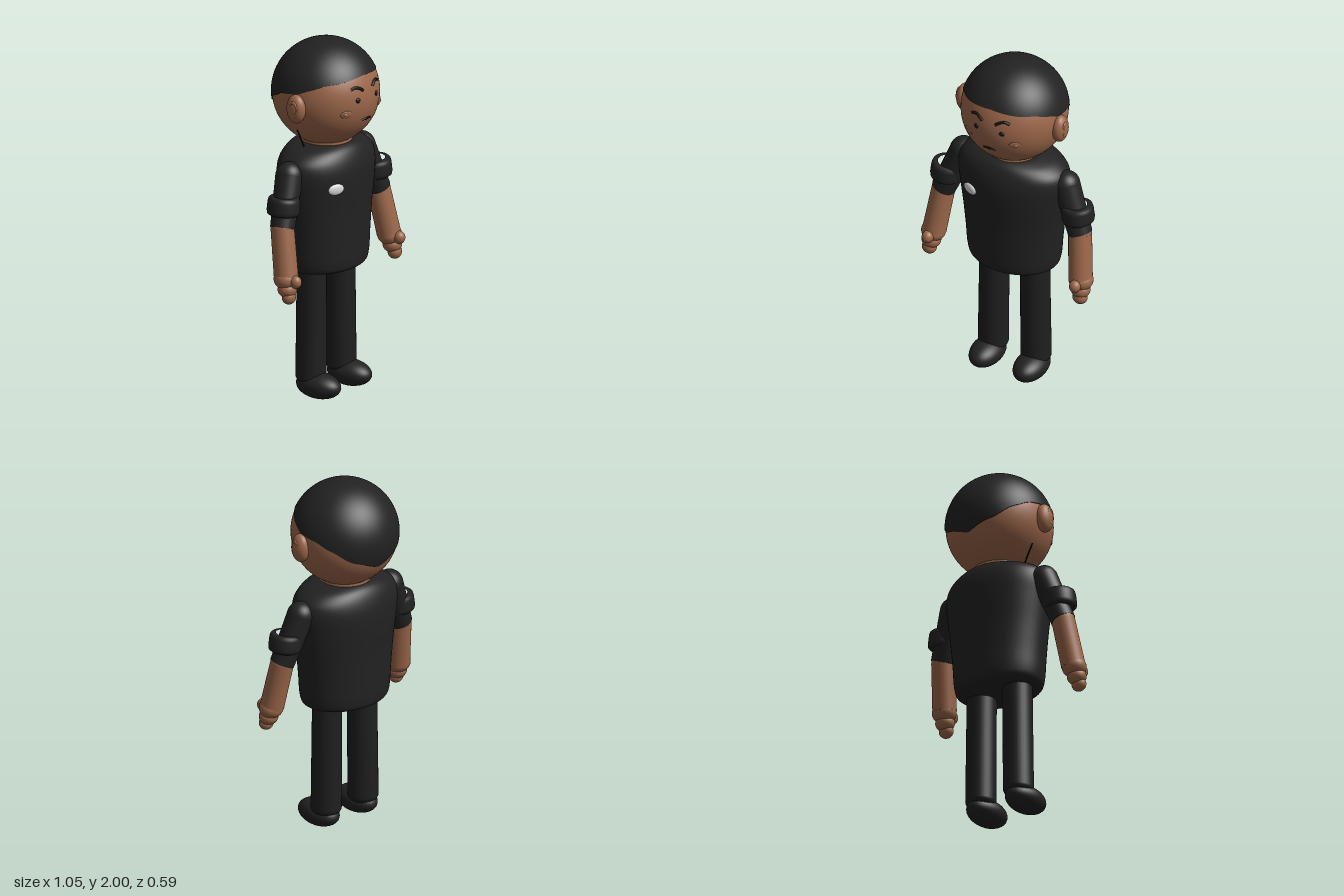
import * as THREE from 'three';
import { mergeVertices, toCreasedNormals } from 'three/addons/utils/BufferGeometryUtils.js';

const material = (name, color) => {
  const m = new THREE.MeshStandardMaterial({ color });
  m.name = name;
  return m;
};
const V = (x, y, z) => new THREE.Vector3(x, y, z);
const HEAD = V(0, 1.704, 0);
const HEAD_R = 0.291;

// Point on the face for given front coordinates
const onFace = (x, y, lift = 0) => {
  const dy = y - HEAD.y;
  const p = V(x, dy, Math.sqrt(HEAD_R ** 2 - x * x - dy * dy));
  return p.setLength(HEAD_R + lift).add(HEAD);
};

// Piecewise linear lookup in [[key, value], ...]
const lookup = (table, k) => {
  for (let i = 1; i < table.length; i++) {
    const [k0, v0] = table[i - 1], [k1, v1] = table[i];
    if (k <= k1) return THREE.MathUtils.lerp(v0, v1, THREE.MathUtils.smootherstep(k, k0, k1) * 0.3 + 0.7 * (k - k0) / (k1 - k0));
  }
  return table[table.length - 1][1];
};

// Smooth closed body through elliptical sections [y, halfWidth, halfDepth]
function loft(sections) {
  const curve = new THREE.CatmullRomCurve3(sections.map(([y, rx, rz]) => V(rx, y, rz)), false, 'centripetal');
  const rings = curve.getPoints(50);
  const geo = new THREE.LatheGeometry(rings.map(p => new THREE.Vector2(Math.max(p.x, 0.0001), p.y)), 56);
  const pos = geo.attributes.position;
  for (let i = 0; i < pos.count; i++) {
    const r = rings[i % rings.length];
    pos.setZ(i, pos.getZ(i) * Math.max(r.z, 0.0001) / Math.max(r.x, 0.0001));
  }
  geo.deleteAttribute('uv');
  geo.deleteAttribute('normal');
  const merged = mergeVertices(geo, 1e-6);
  merged.computeVertexNormals();
  return merged;
}

// Hair cap whose lower edge drops from forehead to nape
function hairCap() {
  const edge = [[0, 1.847], [0.9, 1.822], [1.2, 1.795], [1.5, 1.762], [1.85, 1.748], [2.15, 1.71], [2.6, 1.635], [Math.PI, 1.583]];
  const rows = 28, R = 0.296;
  const geo = new THREE.SphereGeometry(1, 72, rows, 0, Math.PI * 2, 0, Math.PI / 2);
  const pos = geo.attributes.position;
  for (let i = 0; i < pos.count; i++) {
    const az = Math.atan2(pos.getX(i), pos.getZ(i));
    const row = Math.floor(i / 73);
    const limit = Math.acos((lookup(edge, Math.abs(az)) - HEAD.y) / R);
    const theta = Math.min(1, row / (rows - 1)) * limit;
    const p = V(0, 0, 0).setFromSphericalCoords(row === rows ? 0.284 : R, theta, az);
    pos.setXYZ(i, p.x, p.y, p.z);
  }
  geo.deleteAttribute('uv');
  return toCreasedNormals(geo, 0.9);
}

export function createModel() {
  const skin = material('skin', 0x9c674a);
  const black = material('black cloth', 0x222222);
  const trousers = material('trousers', 0x1f1f1f);
  const ink = material('face ink', 0x161412);
  const white = material('badge white', 0xd8d8d8);
  const model = new THREE.Group();
  model.name = 'figure';

  const add = (name, geo, mat, p = V(0, 0, 0)) => {
    const mesh = new THREE.Mesh(geo, mat);
    mesh.name = name;
    mesh.position.copy(p);
    model.add(mesh);
    return mesh;
  };
  const ball = (name, mat, p, rx, ry = rx, rz = rx) => {
    const mesh = add(name, new THREE.SphereGeometry(1, 32, 20), mat, p);
    mesh.scale.set(rx, ry, rz);
    return mesh;
  };
  // Tapered cylinder between two points
  const limb = (name, mat, a, b, ra, rb) => {
    const dir = b.clone().sub(a);
    const mesh = add(name, new THREE.CylinderGeometry(rb, ra, dir.length(), 32), mat, a.clone().add(b).multiplyScalar(0.5));
    mesh.quaternion.setFromUnitVectors(V(0, 1, 0), dir.normalize());
    return mesh;
  };
  // Flat ellipsoid lying on the face
  const facePatch = (name, mat, x, y, rx, ry, depth) => {
    const mesh = ball(name, mat, onFace(x, y), rx, ry, depth);
    mesh.lookAt(onFace(x, y, 1));
    return mesh;
  };
  const faceLine = (name, pts, r) => {
    const curve = new THREE.CatmullRomCurve3(pts.map(([x, y]) => onFace(x, y, 0.002)));
    return add(name, new THREE.TubeGeometry(curve, 16, r, 8), ink);
  };

  // Head, hair and neck
  add('head', new THREE.SphereGeometry(HEAD_R, 64, 40), skin, HEAD);
  add('hair', hairCap(), black, HEAD);
  add('neck', new THREE.CylinderGeometry(0.14, 0.15, 0.12, 40), skin, V(0, 1.415, 0));

  // Torso
  add('shirt', loft([
    [0.713, 0, 0], [0.714, 0.12, 0.1], [0.722, 0.22, 0.17], [0.74, 0.255, 0.198], [0.78, 0.267, 0.207],
    [0.9, 0.278, 0.211], [1.05, 0.295, 0.215], [1.2, 0.315, 0.224], [1.3, 0.325, 0.222], [1.36, 0.31, 0.208],
    [1.405, 0.255, 0.186], [1.428, 0.19, 0.16], [1.437, 0.14, 0.13], [1.438, 0, 0],
  ]), black);
  const badge = ball('badge', white, V(-0.165, 1.223, 0.196), 0.049, 0.031, 0.014);
  badge.rotation.y = -0.38;
  limb('earpieceCable', ink, V(-0.24, 1.54, -0.01), V(-0.17, 1.41, -0.01), 0.004, 0.004);

  // Mouth
  faceLine('mouth', [[-0.036, 1.598], [-0.012, 1.604], [0.012, 1.604], [0.036, 1.598]], 0.005);
  facePatch('lowerLip', ink, 0, 1.598, 0.02, 0.005, 0.006);

  for (const s of [1, -1]) {
    const side = s > 0 ? 'left' : 'right';
    const P = (x, y, z) => V(s * x, y, z);

    // Face features
    facePatch(side + 'Eye', ink, s * 0.079, 1.724, 0.014, 0.014, 0.007);
    faceLine(side + 'Brow', [[s * 0.04, 1.773], [s * 0.062, 1.788], [s * 0.088, 1.795], [s * 0.114, 1.787]], 0.008);
    facePatch(side + 'Cheek', skin, s * 0.143, 1.655, 0.034, 0.022, 0.007);
    facePatch(side + 'CheekCentre', skin, s * 0.148, 1.655, 0.016, 0.012, 0.011);

    // Ear with a raised inner fold
    ball(side + 'Ear', skin, P(0.295, 1.683, 0.025), 0.043, 0.081, 0.057);
    const fold = add(side + 'EarFold', new THREE.TorusGeometry(0.03, 0.007, 10, 28), skin, P(0.328, 1.688, 0.03));
    fold.rotation.y = Math.PI / 2;
    fold.scale.set(0.75, 1.3, 1);

    // Sleeve with rolled cuff
    const shoulder = P(0.318, 1.305, -0.004), elbow = P(0.422, 1.04, 0.03), wrist = P(0.452, 0.78, 0.078);
    ball(side + 'Shoulder', black, shoulder, 0.075);
    limb(side + 'Sleeve', black, shoulder, elbow, 0.075, 0.067);
    const cuffProfile = [[0.055, -0.05], [0.078, -0.05], [0.087, -0.043], [0.09, -0.025], [0.088, 0.025],
      [0.084, 0.042], [0.075, 0.05], [0.055, 0.05]].map(([r, y]) => new THREE.Vector2(r, y));
    const cuff = add(side + 'Cuff', new THREE.LatheGeometry(cuffProfile, 40), black, P(0.404, 1.163, 0.024));
    cuff.rotation.z = s * 0.1;

    // Forearm and hand
    ball(side + 'Elbow', skin, elbow, 0.064);
    limb(side + 'Forearm', skin, elbow, wrist, 0.064, 0.066);
    ball(side + 'Palm', skin, P(0.456, 0.772, 0.08), 0.068, 0.058, 0.066);
    ball(side + 'Knuckles', skin, P(0.462, 0.718, 0.094), 0.054, 0.046, 0.052);
    ball(side + 'Fingers', skin, P(0.466, 0.677, 0.108), 0.042, 0.04, 0.037);
    ball(side + 'Thumb', skin, P(0.456, 0.767, 0.145), 0.032, 0.036, 0.034);

    // Leg and shoe
    limb(side + 'Leg', trousers, P(0.132, 0.12, 0), P(0.125, 0.78, 0), 0.084, 0.081);
    ball(side + 'Ankle', trousers, P(0.132, 0.12, 0), 0.084, 0.05, 0.084);
    ball(side + 'Shoe', black, P(0.136, 0.072, 0.055), 0.088, 0.072, 0.138);
  }
  return model;
}
